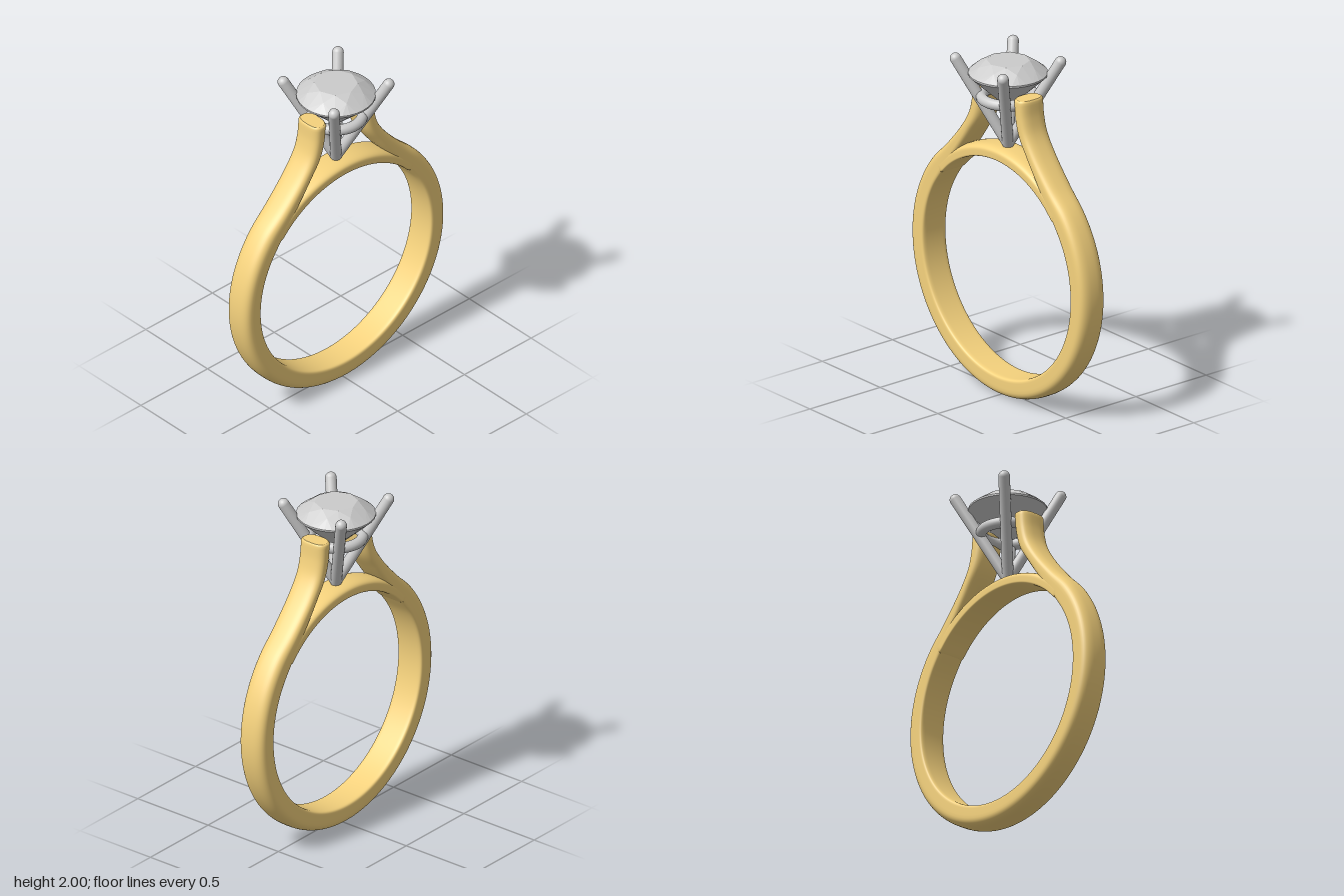
import * as THREE from 'three';
import { ConvexGeometry } from 'three/addons/geometries/ConvexGeometry.js';

const CY = 0.755, INNER = 0.634, OUTER = 0.755, HALF_WIDTH = 0.086;
const V = (x, y, z = 0) => new THREE.Vector3(x, y, z);
const polar = (r, deg) => V(r * Math.cos(deg * Math.PI / 180), CY + r * Math.sin(deg * Math.PI / 180));

// Rounded band lofted between an outer and an inner edge curve; flatness(t) squares off the inside
function band(outerPts, innerPts, steps, flatness) {
  const outer = new THREE.CatmullRomCurve3(outerPts), inner = new THREE.CatmullRomCurve3(innerPts);
  const M = 40, pos = [], idx = [];
  const power = (v, n) => Math.sign(v) * Math.abs(v) ** (2 / n);
  const addRow = (t, offset, scale) => {
    const o = outer.getPoint(t), i = inner.getPoint(t);
    const c = o.clone().add(i).multiplyScalar(0.5);
    const h = o.clone().sub(c).multiplyScalar(scale);
    c.addScaledVector(outer.getTangent(t).add(inner.getTangent(t)).normalize(), offset);
    for (let j = 0; j < M; j++) {
      const a = j / M * Math.PI * 2;
      const n = Math.cos(a) < 0 ? flatness(t) : 2.8;
      const u = power(Math.cos(a), n), w = power(Math.sin(a), n);
      pos.push(c.x + h.x * u, c.y + h.y * u, HALF_WIDTH * scale * w);
    }
  };
  // softly rounded ends with a flat cap
  const cap = [[0.012, 0], [0.012, 0.88], [0.012, 0.88], [0.008, 0.96]];
  cap.forEach(([d, s]) => addRow(0, -d, s));
  for (let k = 0; k <= steps; k++) addRow(k / steps, 0, 1);
  cap.reverse().forEach(([d, s]) => addRow(1, d, s));
  const rows = pos.length / 3 / M;
  for (let r = 0; r < rows - 1; r++) {
    for (let j = 0; j < M; j++) {
      const a = r * M + j, b = r * M + (j + 1) % M;
      idx.push(a, a + M, b, b, a + M, b + M);
    }
  }
  const g = new THREE.BufferGeometry();
  g.setAttribute('position', new THREE.Float32BufferAttribute(pos, 3));
  g.setIndex(idx);
  g.computeVertexNormals();
  return g;
}

// Round band that sweeps up on both sides into the shoulders
function shankGeometry() {
  const outer = [], inner = [];
  for (let a = -90; a <= 40; a += 10) {
    outer.push(polar(OUTER, a));
    inner.push(polar(INNER, a));
  }
  outer.push(V(0.46, 1.355), V(0.328, 1.505), V(0.262, 1.61), V(0.237, 1.70), V(0.229, 1.79));
  inner.push(V(0.39, 1.285), V(0.253, 1.46), V(0.17, 1.58), V(0.138, 1.68), V(0.125, 1.79));
  const mirrored = pts => [...pts.slice(1).reverse().map(p => V(-p.x, p.y)), ...pts];
  const flatness = t => 2.5 + 6 * (1 - THREE.MathUtils.smoothstep(Math.abs(t - 0.5), 0.33, 0.43));
  return band(mirrored(outer), mirrored(inner), 220, flatness);
}

// Thin arch closing the finger hole
function bridgeGeometry() {
  const outer = [], inner = [];
  for (let a = 42; a <= 138; a += 8) {
    outer.push(polar(0.706, a));
    inner.push(polar(INNER, a));
  }
  return band(outer, inner, 60, () => 8.5);
}

// Round brilliant cut: table, crown, girdle, pavilion and culet
function stoneGeometry() {
  const pts = [V(0, 1.70, 0)];
  const ring = (n, r, y, shift) => {
    for (let i = 0; i < n; i++) {
      const a = (i + shift) / n * Math.PI * 2;
      pts.push(V(r * Math.cos(a), y, r * Math.sin(a)));
    }
  };
  ring(8, 0.12, 1.97, 0);
  ring(8, 0.168, 1.943, 0.5);
  ring(32, 0.22, 1.899, 0);
  ring(32, 0.22, 1.889, 0);
  ring(8, 0.06, 1.741, 0.5);
  return new ConvexGeometry(pts);
}

export function createModel() {
  const model = new THREE.Group();
  model.name = 'ring';
  const gold = new THREE.MeshStandardMaterial({ color: 0xf5d27d });
  const grey = new THREE.MeshStandardMaterial({ color: 0xcccccc });
  const facet = new THREE.MeshStandardMaterial({ color: 0xcccccc, flatShading: true });
  const add = (name, geometry, material, parent = model) => {
    const mesh = new THREE.Mesh(geometry, material);
    mesh.name = name;
    parent.add(mesh);
    return mesh;
  };

  add('shank', shankGeometry(), gold);
  add('bridge', bridgeGeometry(), gold);
  add('stone', stoneGeometry(), facet);

  // Gallery ring under the stone
  const gallery = add('galleryRing', new THREE.TorusGeometry(0.147, 0.031, 16, 64), grey);
  gallery.rotation.x = Math.PI / 2;
  gallery.position.y = 1.755;

  // Four round-tipped prongs fanning out from the bridge
  const prongs = new THREE.Group();
  prongs.name = 'prongs';
  model.add(prongs);
  const foot = V(0, 1.475, 0);
  for (const sx of [-1, 1]) {
    for (const sz of [-1, 1]) {
      const tip = V(0.205 * sx, 1.968, 0.205 * sz);
      const dir = tip.clone().sub(foot);
      const prong = add('prong', new THREE.CapsuleGeometry(0.032, dir.length(), 8, 20), grey, prongs);
      prong.position.copy(foot).addScaledVector(dir, 0.5);
      prong.quaternion.setFromUnitVectors(V(0, 1, 0), dir.normalize());
    }
  }
  return model;
}
